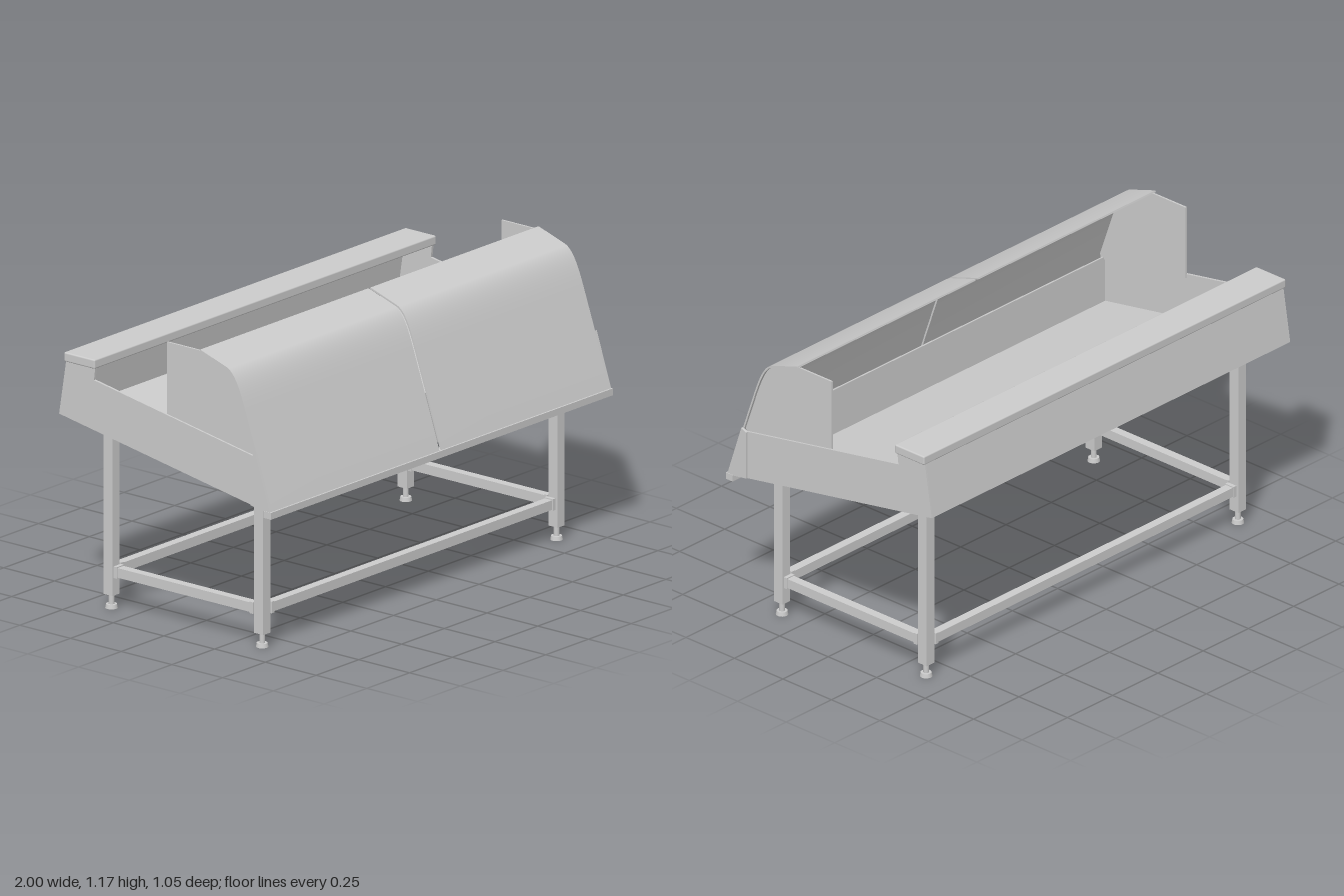
import * as THREE from 'three';
import { toCreasedNormals } from 'three/addons/utils/BufferGeometryUtils.js';
import { RoundedBoxGeometry } from 'three/addons/geometries/RoundedBoxGeometry.js';

const material = new THREE.MeshStandardMaterial({ color: 0xcccccc });

export function createModel() {
  const model = new THREE.Group();

  const add = (name, geometry, x = 0, y = 0, z = 0) => {
    const mesh = new THREE.Mesh(geometry, material);
    mesh.name = name;
    mesh.position.set(x, y, z);
    model.add(mesh);
    return mesh;
  };

  // Extrudes a [z, y] outline along x, from x0 to x1
  const extrudeX = (name, outline, x0, x1) => {
    const shape = new THREE.Shape(outline.map(([z, y]) => new THREE.Vector2(z, y)));
    const geometry = new THREE.ExtrudeGeometry(shape, { depth: x1 - x0, bevelEnabled: false });
    geometry.rotateY(-Math.PI / 2).translate(x1, 0, 0);
    return add(name, toCreasedNormals(geometry, 0.45));
  };

  // Offsets an open [z, y] line to its left side by t and closes it into a sheet
  const sheet = (line, t) => {
    const inner = line.map(([z, y], i) => {
      const a = line[Math.max(i - 1, 0)];
      const b = line[Math.min(i + 1, line.length - 1)];
      const length = Math.hypot(b[0] - a[0], b[1] - a[1]);
      return [z - ((b[1] - a[1]) / length) * t, y + ((b[0] - a[0]) / length) * t];
    });
    return [...line, ...inner.reverse()];
  };

  // Height of the sloping tray underside at depth z
  const under = (z) => 0.603 + (0.43 - z) * 0.174;

  // Sloping tray: floor, front wall, back wall and end walls
  extrudeX('trayFloor', [[0.43, under(0.43)], [0.43, 0.613], [-0.52, 0.778], [-0.525, 0.769]], -0.985, 0.985);
  extrudeX('trayFrontWall', [[0.43, 0.603], [0.43, 0.8], [0.42, 0.802], [0.42, 0.607]], -0.985, 0.985);
  extrudeX('trayBackWall', [[-0.525, 0.769], [-0.515, 0.769], [-0.48, 0.99], [-0.49, 0.99]], -0.985, 0.985);
  const endOutline = [[0.43, 0.603], [0.43, 0.8], [-0.353, 0.937], [-0.347, 0.987], [-0.49, 0.987], [-0.525, 0.769]];

  // Cap along the rear edge
  add('rearCap', new RoundedBoxGeometry(2, 0.037, 0.152, 2, 0.006), 0, 1.003, -0.418);

  // Curved shield: straight front, rounded shoulder, shallow top
  const bend = new THREE.CubicBezierCurve(
    new THREE.Vector2(0.39, 0.98), new THREE.Vector2(0.365, 1.05),
    new THREE.Vector2(0.34, 1.11), new THREE.Vector2(0.3, 1.125));
  const shieldLine = [
    [0.523, 0.59], [0.449, 0.81],
    ...bend.getPoints(12).map((p) => [p.x, p.y]),
    [0.17, 1.167],
  ];
  extrudeX('shieldPanelRight', sheet(shieldLine, 0.007), -0.99, -0.006);
  extrudeX('shieldPanelLeft', sheet(shieldLine, 0.007), 0.006, 0.99);

  // Gutter carrying the lower shield edge
  add('frontGutter', new THREE.BoxGeometry(2, 0.027, 0.036), 0, 0.583, 0.51);

  // Shield cheeks follow the curve just inside it
  const cheek = [
    [0, 0.86], [0.435, 0.79], [0.441, 0.81],
    ...bend.getPoints(12).map((p) => [p.x - 0.007, p.y - 0.005]),
    [0.165, 1.16], [0, 1.16],
  ];
  const bracket = [[0.523, 0.59], [0.45, 0.812], [0.425, 0.8], [0.425, 0.605]];

  for (const [side, s] of [['Left', 1], ['Right', -1]]) {
    const span = (a, b) => (s > 0 ? [a, b] : [-b, -a]);
    extrudeX('trayEnd' + side, endOutline, ...span(0.98, 0.99));
    extrudeX('shieldCheek' + side, cheek, ...span(0.974, 0.982));
    extrudeX('shieldBracket' + side, bracket, ...span(0.988, 0.998));

    // Sloping side rail under the tray
    extrudeX('upperSideRail' + side, [
      [0.39, under(0.39) - 0.042], [0.39, under(0.39)],
      [-0.398, under(-0.398)], [-0.398, under(-0.398) - 0.042],
    ].reverse(), ...span(0.84, 0.882));

    // Side stretcher with end plates and pins
    add('sideStretcher' + side, new THREE.BoxGeometry(0.036, 0.038, 0.67), s * 0.861, 0.151, -0.004);
    add('sideStretcherPin' + side, new THREE.BoxGeometry(0.012, 0.014, 0.71), s * 0.861, 0.151, -0.004);
    for (const z of [0.331, -0.339]) {
      add('sideStretcherPlate' + side, new THREE.BoxGeometry(0.042, 0.046, 0.016), s * 0.861, 0.151, z);
    }

    // Legs with levelling feet
    for (const [end, z] of [['front', 0.3675], ['back', -0.3755]]) {
      const [z0, z1] = [z - 0.0225, z + 0.0225];
      extrudeX(end + 'Leg' + side, [[z0, 0.055], [z1, 0.055], [z1, under(z1)], [z0, under(z0)]], ...span(0.84, 0.882));
      add(end + 'FootStem' + side, new THREE.CylinderGeometry(0.011, 0.011, 0.045, 16), s * 0.861, 0.036, z);
      add(end + 'FootPad' + side, new THREE.CylinderGeometry(0.021, 0.024, 0.016, 24), s * 0.861, 0.008, z);
    }
  }

  // Cross rails under the tray and the long stretchers between the legs
  for (const [end, z] of [['front', 0.3675], ['back', -0.3755]]) {
    const [z0, z1] = [z - 0.0225, z + 0.0225];
    extrudeX(end + 'UpperRail', [
      [z0, under(z0) - 0.042], [z1, under(z1) - 0.042], [z1, under(z1)], [z0, under(z0)],
    ], -0.85, 0.85);
    add(end + 'Stretcher', new THREE.BoxGeometry(1.65, 0.038, 0.036), 0, 0.151, z);
    add(end + 'StretcherPin', new THREE.BoxGeometry(1.69, 0.014, 0.012), 0, 0.151, z);
    for (const x of [-0.822, 0.822]) {
      add(end + 'StretcherPlate', new THREE.BoxGeometry(0.016, 0.046, 0.042), x, 0.151, z);
    }
  }

  return model;
}
